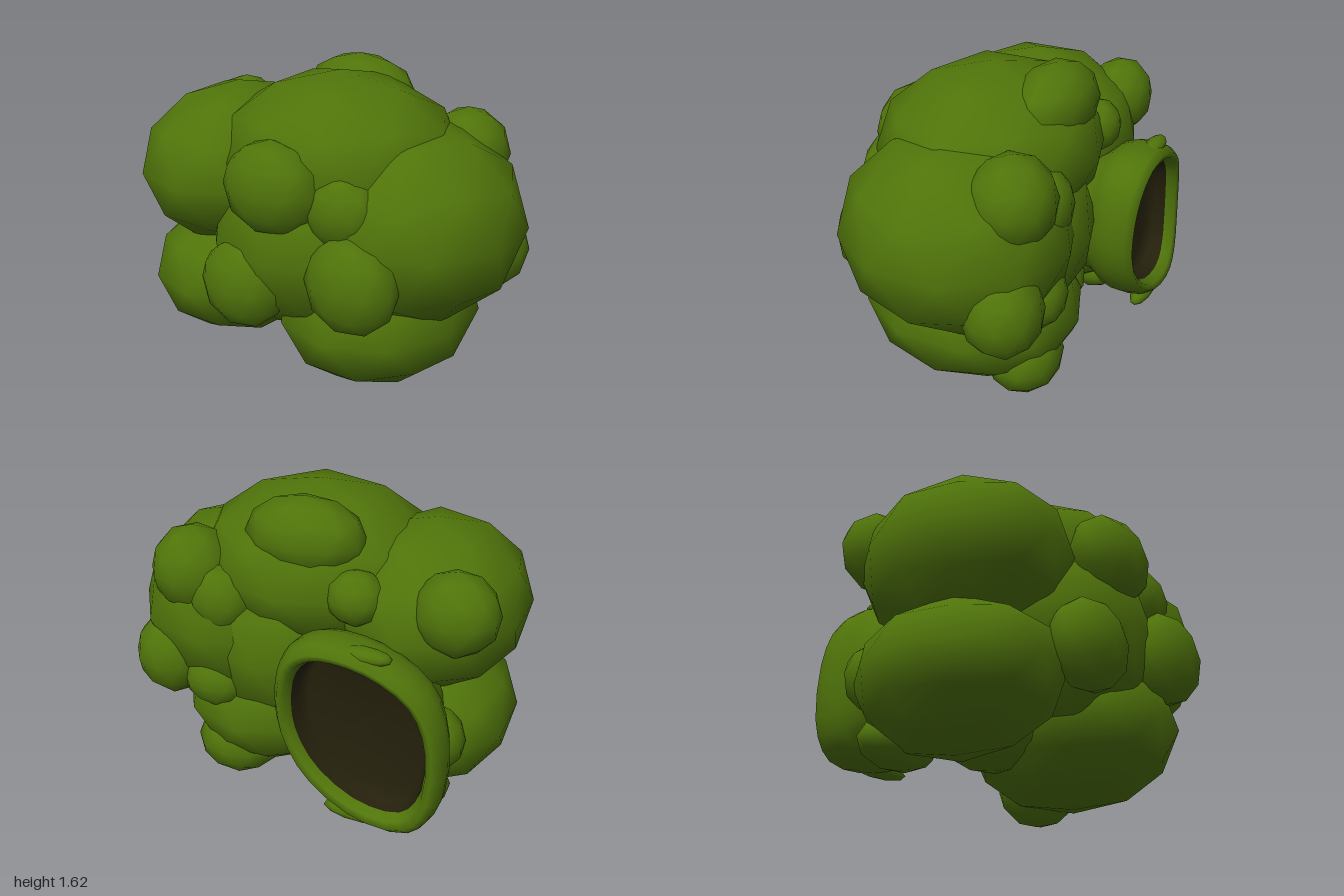
import * as THREE from 'three';

const green = new THREE.MeshStandardMaterial({ color: 0x50740a });
green.name = 'mossGreen';
const dark = new THREE.MeshStandardMaterial({ color: 0x24200c });
dark.name = 'darkCavity';

// Low-poly, smooth-shaded ellipsoid with a corner at its top: centre c, radii r
const ball = new THREE.IcosahedronGeometry(1, 1).rotateZ(-Math.atan(2 / (1 + Math.sqrt(5))));
function blob(name, c, r) {
  const mesh = new THREE.Mesh(ball, green);
  mesh.position.set(...c);
  mesh.scale.set(...r);
  mesh.name = name;
  return mesh;
}

// Outline of the opening at its widest, counted towards -x from the top
const outline = new THREE.CatmullRomCurve3([
  [-0.15, 1.08], [-0.28, 1.11], [-0.52, 1.07], [-0.74, 0.93], [-0.84, 0.7], [-0.83, 0.32],
  [-0.72, 0.17], [-0.45, 0.17], [-0.16, 0.34], [-0.02, 0.57], [0, 0.8], [-0.05, 0.99],
].map(([x, y]) => new THREE.Vector3(x, y, 0)), true);
const MID = { x: -0.42, y: 0.64 };

// Skin through scaled copies of the outline; each section is [scale, z]
function loft(name, sections, material) {
  const n = 32, pos = [], index = [];
  const loop = outline.getPoints(n).slice(0, n);
  sections.forEach(([s, z], k) => {
    loop.forEach((p, i) => {
      const y = MID.y + (p.y - MID.y) * s;
      // the rim dips slightly at mid height
      const dip = z < -0.6 ? 0.035 * Math.max(0, Math.cos((y - MID.y) * Math.PI)) : 0;
      pos.push(MID.x + (p.x - MID.x) * s, y, z + dip);
      if (k + 1 < sections.length) {
        const a = k * n + i, b = k * n + (i + 1) % n;
        index.push(a, a + n, b, b, a + n, b + n);
      }
    });
  });
  const g = new THREE.BufferGeometry();
  g.setAttribute('position', new THREE.Float32BufferAttribute(pos, 3));
  g.setIndex(index);
  g.computeVertexNormals();
  const mesh = new THREE.Mesh(g, material);
  mesh.name = name;
  return mesh;
}

export function createModel() {
  const model = new THREE.Group();
  model.name = 'lumpyPod';

  // Large lobes of the body
  const lobes = [
    ['topLobe', [0.06, 1.18, 0.05], [0.63, 0.42, 0.57]],
    ['upperRightLobe', [-0.54, 1.05, 0.08], [0.485, 0.43, 0.57]],
    ['lowerRightLobe', [-0.54, 0.46, 0.05], [0.465, 0.37, 0.55]],
    ['leftLobe', [0.47, 0.89, 0.03], [0.56, 0.51, 0.59]],
    ['bottomLobe', [0.29, 0.4, 0.04], [0.51, 0.39, 0.58]],
    ['frontLobe', [0, 0.78, 0.14], [0.58, 0.51, 0.54]],
    ['backLobe', [0.18, 0.8, -0.1], [0.48, 0.48, 0.44]],
    ['underLobe', [-0.12, 0.33, -0.1], [0.26, 0.18, 0.3]],
  ];
  for (const [name, c, r] of lobes) model.add(blob(name, c, r));

  // Bumps on the front
  const front = [
    [[-0.01, 1.13, 0.56], [0.26, 0.235, 0.165]],
    [[-0.19, 0.6, 0.56], [0.235, 0.235, 0.16]],
    [[0.42, 0.73, 0.56], [0.24, 0.25, 0.16]],
    [[0.32, 1.05, 0.48], [0.2, 0.19, 0.14]],
  ];
  for (const [c, r] of front) model.add(blob('frontBump', c, r));

  // Bumps around the back
  const back = [
    [[0, 1.42, -0.26], [0.31, 0.2, 0.2]],
    [[0.59, 1.17, -0.32], [0.22, 0.23, 0.215]],
    [[0.73, 0.67, -0.34], [0.21, 0.23, 0.2]],
    [[0.39, 0.19, -0.3], [0.23, 0.19, 0.19]],
    [[-0.77, 1.19, -0.31], [0.21, 0.21, 0.18]],
    [[-0.71, 0.53, -0.36], [0.16, 0.18, 0.14]],
    [[-0.58, 0.22, -0.32], [0.22, 0.13, 0.15]],
    [[-0.3, 1.2, -0.36], [0.15, 0.14, 0.13]],
    [[0.4, 1.07, -0.4], [0.17, 0.18, 0.13]],
    [[0.45, 0.6, -0.4], [0.18, 0.15, 0.13]],
  ];
  for (const [c, r] of back) model.add(blob('backBump', c, r));

  // Open mouth at the back with a rolled lip
  model.add(loft('mouthLip', [
    [0.72, -0.25], [0.82, -0.41], [0.94, -0.47], [0.99, -0.53], [1, -0.61], [0.97, -0.68],
    [0.9, -0.72], [0.83, -0.71], [0.79, -0.66],
  ], green));
  model.add(loft('mouthCavity', [[0.79, -0.66], [0.76, -0.57], [0.7, -0.52], [0, -0.515]], dark));

  // Small swellings on the lip
  model.add(blob('lipTopSwelling', [-0.46, 1.07, -0.63], [0.13, 0.04, 0.05]));
  model.add(blob('lipBottomSwelling', [-0.44, 0.2, -0.64], [0.18, 0.045, 0.055]));

  return model;
}
